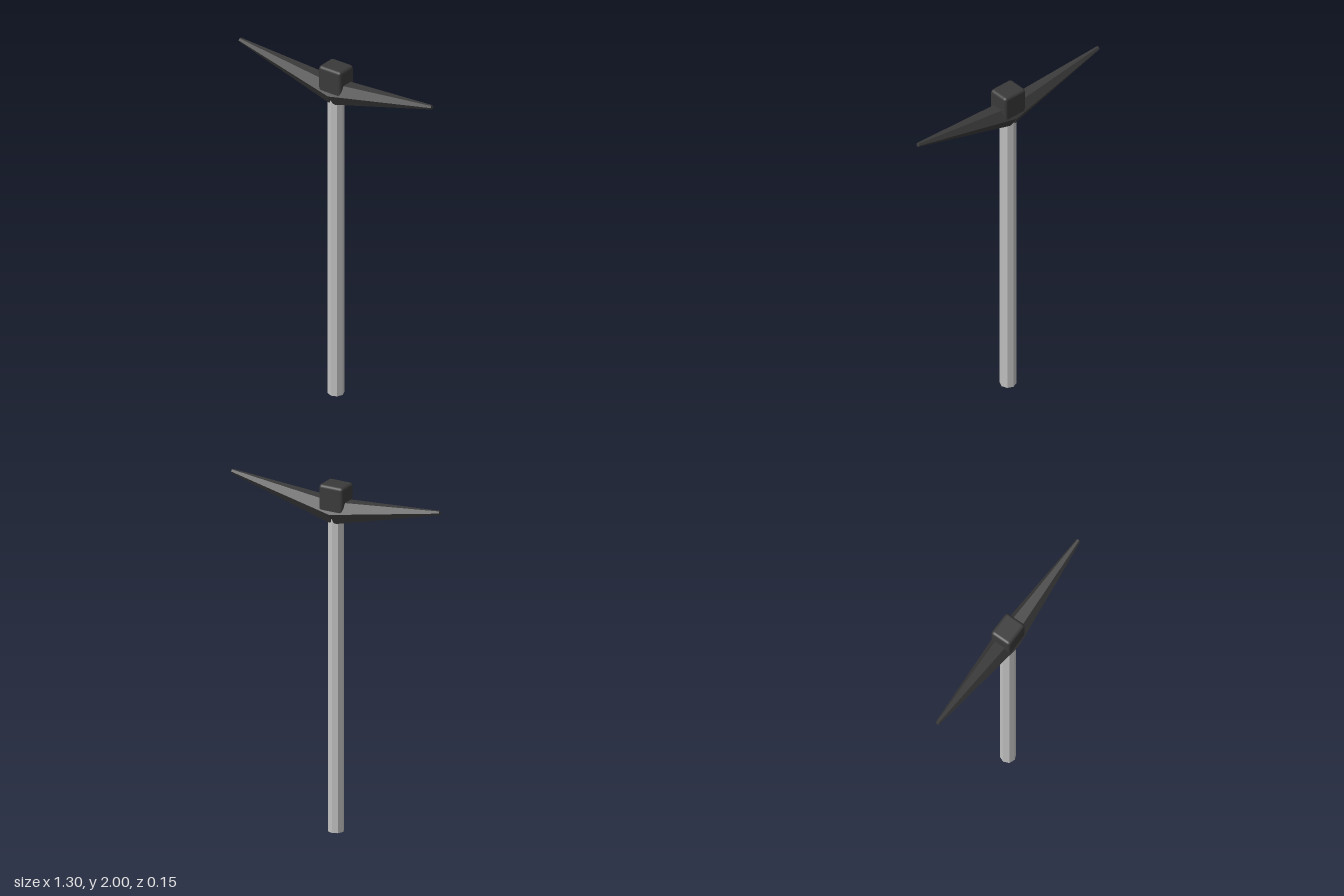
import * as THREE from 'three';
import { RoundedBoxGeometry } from 'three/addons/geometries/RoundedBoxGeometry.js';

export function createModel() {
  const model = new THREE.Group();
  model.name = 'pole with two arms';

  const paleGrey = new THREE.MeshStandardMaterial({ color: 0xc0c0c0 });
  paleGrey.name = 'pale grey metal';
  const darkGrey = new THREE.MeshStandardMaterial({ color: 0x3a3a3a });
  darkGrey.name = 'dark grey';

  const add = (name, geometry, material) => {
    const mesh = new THREE.Mesh(geometry, material);
    mesh.name = name;
    model.add(mesh);
    return mesh;
  };

  // Faceted geometry with one normal per face
  const faceted = (geometry) => {
    const flat = geometry.toNonIndexed();
    flat.computeVertexNormals();
    return flat;
  };

  // Eight-sided pole
  const poleHeight = 1.84;
  const pole = add('pole', faceted(new THREE.CylinderGeometry(0.045, 0.045, poleHeight, 8)), paleGrey);
  pole.position.y = poleHeight / 2;

  // Rounded block on top
  const cap = add('capBlock', new RoundedBoxGeometry(0.15, 0.17, 0.126, 3, 0.018), darkGrey);
  cap.position.y = 1.915;

  // Two tapered six-sided arms rising outward
  const up = new THREE.Vector3(0, 1, 0);
  const armGeometry = (length) => faceted(new THREE.CylinderGeometry(0.012, 0.073, length, 6));
  for (const side of [1, -1]) {
    const root = new THREE.Vector3(0, 1.84, 0);
    const tip = new THREE.Vector3(side * 0.65, 1.95, 0);
    const axis = tip.clone().sub(root);
    const arm = add(side > 0 ? 'leftArm' : 'rightArm', armGeometry(axis.length()), darkGrey);
    arm.position.copy(root).add(tip).multiplyScalar(0.5);
    arm.quaternion.setFromUnitVectors(up, axis.normalize());
  }

  return model;
}
